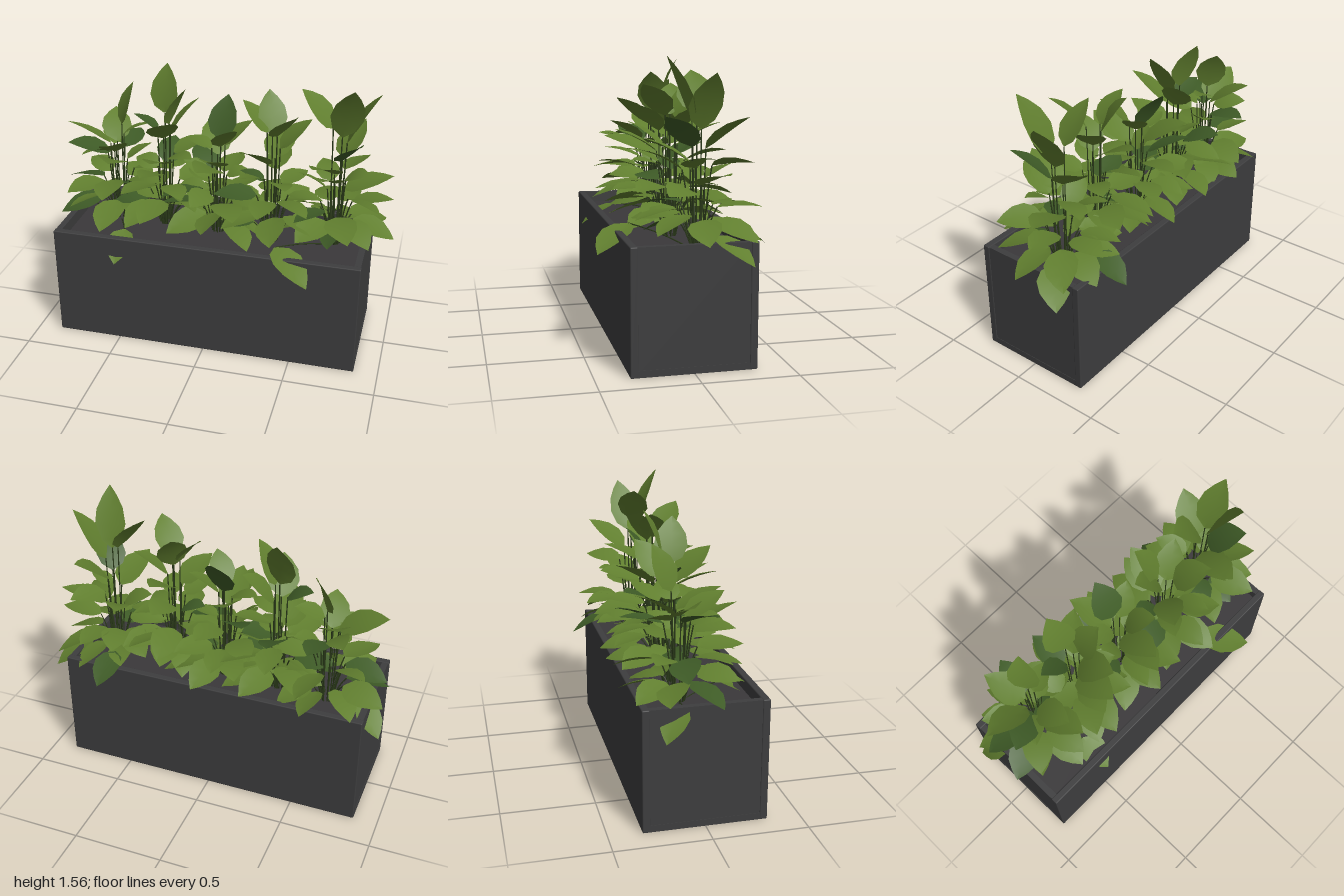
import * as THREE from 'three';
import { mergeGeometries } from 'three/addons/utils/BufferGeometryUtils.js';
import { RoundedBoxGeometry } from 'three/addons/geometries/RoundedBoxGeometry.js';

const V = (x, y, z) => new THREE.Vector3(x, y, z);
const UP = V(0, 1, 0);
const SOIL_Y = 0.59;

// Small seeded generator, returns -1..1
let seed = 7;
const jitter = () => {
  seed = (seed * 16807) % 2147483647;
  return (seed / 2147483647) * 2 - 1;
};

// Pointed oval leaf with a shallow fold, a slight arch and a roll about its midrib
function leafGeometry(base, tip, width, roll) {
  const d = tip.clone().sub(base);
  const side = UP.clone().cross(d).normalize().applyAxisAngle(d.clone().normalize(), roll);
  const normal = d.clone().cross(side).normalize();
  const stations = [[0, 0.08], [0.13, 0.72], [0.36, 1], [0.62, 0.86], [0.83, 0.46], [1, 0]];
  const pos = [], idx = [];
  for (const [t, w] of stations) {
    const mid = base.clone().addScaledVector(d, t).addScaledVector(normal, 0.012 * Math.sin(Math.PI * t));
    for (const s of [-1, 0, 1]) {
      const p = mid.clone().addScaledVector(side, s * w * width / 2);
      p.addScaledVector(normal, Math.abs(s) * w * width * 0.06);
      pos.push(p.x, p.y, p.z);
    }
  }
  for (let i = 0; i < stations.length - 1; i++) {
    for (let j = 0; j < 2; j++) {
      const a = i * 3 + j, b = a + 3;
      idx.push(a, b, a + 1, b, b + 1, a + 1);
    }
  }
  const g = new THREE.BufferGeometry();
  g.setAttribute('position', new THREE.Float32BufferAttribute(pos, 3));
  g.setIndex(idx);
  g.computeVertexNormals();
  return g;
}

// Thin stalk rising steeply from the soil to the leaf base
function stemGeometry(root, end) {
  const bend = V(root.x * 0.6 + end.x * 0.4, root.y * 0.3 + end.y * 0.7, root.z * 0.6 + end.z * 0.4);
  return new THREE.TubeGeometry(new THREE.QuadraticBezierCurve3(root, bend, end), 5, 0.0036, 4);
}

// Plants: position and upper leaves as [angle in degrees, base height, tip height, reach]
const PLANTS = [
  { x: -0.61, z: -0.08, crown: [[-60, 1.16, 1.39, 0.14], [180, 1.05, 1.16, 0.3], [150, 1.01, 1.09, 0.28],
    [-20, 1.11, 1.17, 0.2], [80, 1.02, 1.14, 0.25], [-110, 1.05, 1.18, 0.26]] },
  { x: -0.32, z: -0.06, crown: [[-95, 1.26, 1.52, 0.14], [190, 1.17, 1.24, 0.19], [20, 1.22, 1.45, 0.16],
    [75, 1.14, 1.3, 0.25], [88, 0.98, 1.09, 0.29], [-40, 1.15, 1.33, 0.22]] },
  { x: 0, z: -0.04, crown: [[-85, 1.14, 1.36, 0.18], [90, 1.01, 1.14, 0.28], [190, 1.1, 1.14, 0.2],
    [-30, 1.12, 1.25, 0.2], [55, 1.13, 1.28, 0.2], [250, 1.05, 1.18, 0.28]] },
  { x: 0.32, z: 0, crown: [[195, 1.24, 1.4, 0.19], [-110, 1.22, 1.43, 0.18], [50, 1.24, 1.41, 0.23],
    [-30, 1.15, 1.3, 0.22], [125, 1.07, 1.2, 0.25], [-85, 1.08, 1.2, 0.28]] },
  { x: 0.67, z: -0.06, crown: [[65, 1.25, 1.56, 0.2], [185, 1.28, 1.48, 0.22], [-10, 1.2, 1.48, 0.21],
    [-65, 1.1, 1.26, 0.26], [110, 1.03, 1.15, 0.29], [-15, 0.92, 1.0, 0.31], [55, 1.11, 1.27, 0.24]] },
];

// Lower rings: leaf count, base height, tip height, base radius, reach, sideways factor
const RINGS = [
  { n: 9, by: 0.74, ty: 0.69, r: 0.1, reach: 0.32, sx: 1 },
  { n: 7, by: 0.85, ty: 0.84, r: 0.1, reach: 0.34, sx: 0.9 },
  { n: 5, by: 0.98, ty: 1.04, r: 0.08, reach: 0.32, sx: 0.65 },
];

// Leaves hanging over the rim: [plant, base xyz, tip xyz]
const HANGING = [
  [4, 0.39, 0.68, 0.24, 0.6, 0.565, 0.44], [4, 0.8, 0.68, -0.11, 0.97, 0.55, -0.27],
  [0, -0.8, 0.64, -0.11, -0.94, 0.5, -0.22], [0, -0.5, 0.63, 0.16, -0.5, 0.51, 0.36],
  [4, 0.6, 0.7, -0.23, 0.62, 0.59, -0.44],
];

export function createModel() {
  const model = new THREE.Group();
  const material = (name, color, side = THREE.FrontSide) => {
    const m = new THREE.MeshStandardMaterial({ color, side });
    m.name = name;
    return m;
  };
  const planterGrey = material('planter grey', 0x3d3d3e);
  const soilGrey = material('soil dark grey', 0x3a383a);
  const leafGreen = material('leaf green', 0x617f2f, THREE.DoubleSide);
  const deepGreen = material('deep leaf green', 0x3f5c27, THREE.DoubleSide);
  const stemGreen = material('stem green', 0x2c3c1a);

  const add = (parent, name, geometry, mat, x = 0, y = 0, z = 0) => {
    const m = new THREE.Mesh(geometry, mat);
    m.name = name;
    m.position.set(x, y, z);
    parent.add(m);
  };

  // Planter box: long panels, slightly inset ends, base and soil
  const planter = new THREE.Group();
  planter.name = 'planter';
  model.add(planter);
  for (const s of [1, -1]) {
    add(planter, s > 0 ? 'frontPanel' : 'backPanel',
      new RoundedBoxGeometry(1.734, 0.655, 0.04, 2, 0.006), planterGrey, 0, 0.3275, s * 0.305);
    add(planter, s > 0 ? 'leftPanel' : 'rightPanel',
      new THREE.BoxGeometry(0.035, 0.635, 0.58), planterGrey, s * 0.846, 0.3355, 0);
  }
  add(planter, 'base', new THREE.BoxGeometry(1.732, 0.036, 0.64), planterGrey, 0, 0.019, 0);
  add(planter, 'soil', new THREE.BoxGeometry(1.67, 0.04, 0.58), soilGrey, 0, SOIL_Y - 0.02, 0);

  // Plants
  PLANTS.forEach(({ x, z, crown }, p) => {
    const plant = new THREE.Group();
    plant.name = 'plant' + (p + 1);
    model.add(plant);
    const light = [], deep = [], stems = [];
    let count = p;
    const addLeaf = (base, tip, rootAngle, roll) => {
      const length = base.distanceTo(tip);
      const width = THREE.MathUtils.clamp(length * 0.68, 0.13, 0.18);
      (count++ % 8 === 2 ? deep : light).push(leafGeometry(base, tip, width, roll));
      const root = V(x + 0.03 * Math.cos(rootAngle), SOIL_Y - 0.01, z + 0.03 * Math.sin(rootAngle));
      stems.push(stemGeometry(root, base));
    };
    const at = (angle, radius, y, sx = 1) => V(x + Math.cos(angle) * radius * sx, y, z + Math.sin(angle) * radius);

    for (const [deg, by, ty, reach] of crown) {
      const a = THREE.MathUtils.degToRad(deg);
      addLeaf(at(a, 0.04, by), at(a, reach, ty), a, jitter() * 0.4);
    }
    RINGS.forEach((ring, k) => {
      for (let i = 0; i < ring.n; i++) {
        const a = ((i + 0.5 * (k % 2) + 0.2 * jitter()) / ring.n) * Math.PI * 2 + p * 0.7;
        const dy = jitter() * 0.055;
        const reach = ring.reach + jitter() * 0.04;
        addLeaf(at(a, ring.r, ring.by + dy, ring.sx),
          at(a + jitter() * 0.2, reach, ring.ty + dy + jitter() * 0.04, ring.sx), a, jitter() * 0.4);
      }
    });
    for (const [owner, bx, by, bz, tx, ty, tz] of HANGING) {
      if (owner === p) addLeaf(V(bx, by, bz), V(tx, ty, tz), Math.atan2(bz - z, bx - x), 0);
    }
    add(plant, 'leaves', mergeGeometries(light), leafGreen);
    add(plant, 'deepLeaves', mergeGeometries(deep), deepGreen);
    add(plant, 'stems', mergeGeometries(stems), stemGreen);
  });
  return model;
}
